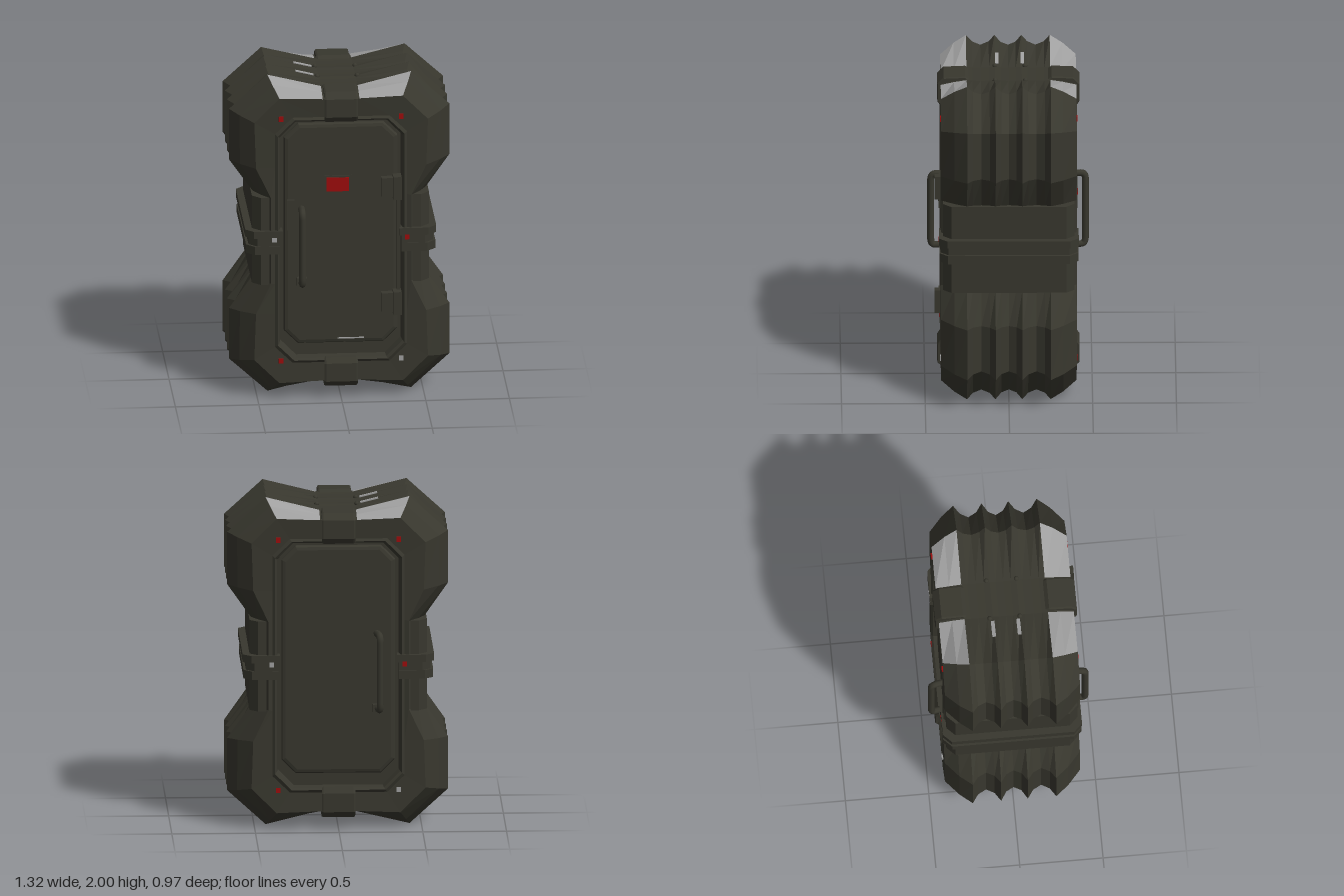
import * as THREE from 'three';

const olive = new THREE.MeshStandardMaterial({ color: 0x38372e });
olive.name = 'darkOlive';
const grey = new THREE.MeshStandardMaterial({ color: 0xa0a0a0 });
grey.name = 'lightGrey';
const red = new THREE.MeshStandardMaterial({ color: 0x9c0c0c });
red.name = 'red';

// Quarter outlines (upper left of the model), from top centre to waist
const RIDGE = [[0.11, 1.92], [0.43, 2.0], [0.66, 1.79], [0.66, 1.47], [0.52, 1.27]];
const VALLEY = [[0.11, 1.915], [0.41, 1.945], [0.59, 1.76], [0.59, 1.47], [0.5, 1.27]];
const FRONT = [[0.11, 1.89], [0.37, 1.9], [0.52, 1.75], [0.51, 1.46], [0.42, 1.27]];
const OPENING = [[0.11, 1.76], [0.28, 1.76], [0.38, 1.66], [0.38, 1.45], [0.38, 1.27]];

const mix = (a, b, t) => a.map((p, i) => p.map((v, k) => v + (b[i][k] - v) * t));
const shrink = (a, sx, sy) => a.map(([x, y]) => [x * sx, 1 + (y - 1) * sy]);

// Mirror a quarter outline into a closed ring at depth z
function ring(q, z) {
  const r = [...q].reverse();
  return [
    ...q.map(([x, y]) => [x, y, z]), ...r.map(([x, y]) => [x, 2 - y, z]),
    ...q.map(([x, y]) => [-x, 2 - y, z]), ...r.map(([x, y]) => [-x, y, z]),
  ];
}

// Ribbed shell lofted from back to front, with a recess in both faces
function makeBody() {
  const half = [
    [shrink(OPENING, 0, 0), 0.345], [shrink(OPENING, 0.95, 0.975), 0.345],
    [shrink(OPENING, 0.97, 0.985), 0.395], [OPENING, 0.408], [shrink(OPENING, 1.04, 1.02), 0.398],
    [FRONT, 0.405], [mix(FRONT, RIDGE, 0.6), 0.325], [RIDGE, 0.25],
    [mix(VALLEY, RIDGE, 0.35), 0.215], [VALLEY, 0.165], [mix(VALLEY, RIDGE, 0.35), 0.115],
    [RIDGE, 0.08], [mix(VALLEY, RIDGE, 0.3), 0.045],
  ];
  const rows = [
    ...half.map(([q, z]) => ring(q, -z)), ring(VALLEY, 0),
    ...[...half].reverse().map(([q, z]) => ring(q, z)),
  ];
  const plain = [], pale = [];
  for (let i = 0; i < rows.length - 1; i++) {
    const slope = Math.min(i, rows.length - 2 - i);
    for (let j = 0; j < 20; j++) {
      const k = (j + 1) % 20;
      const a = rows[i][j], b = rows[i][k], c = rows[i + 1][k], d = rows[i + 1][j];
      // Pale plates on the sloping top edges
      const isPale = (slope === 5 || slope === 6) && (j === 0 || j === 18);
      (isPale ? pale : plain).push(...a, ...c, ...b, ...a, ...d, ...c);
    }
  }
  const g = new THREE.BufferGeometry();
  g.setAttribute('position', new THREE.Float32BufferAttribute([...plain, ...pale], 3));
  g.addGroup(0, plain.length / 3, 0);
  g.addGroup(plain.length / 3, pale.length / 3, 1);
  g.computeVertexNormals();
  return g;
}

const shapeOf = (pts) => new THREE.Shape(pts.map(([x, y]) => new THREE.Vector2(x, y)));

// Upright prism from an outline in x and z
function prism(pts, y0, y1) {
  const g = new THREE.ExtrudeGeometry(shapeOf(pts), { depth: y1 - y0, bevelEnabled: false });
  return g.rotateX(-Math.PI / 2).translate(0, y0, 0);
}

// Side wrap outline: flat outside, chamfered towards front and back
const wrap = (x0, x1, z) => [
  [x0, -z], [x1 - 0.05, -z], [x1, 0.05 - z], [x1, z - 0.05], [x1 - 0.05, z], [x0, z],
];

export function createModel() {
  const model = new THREE.Group();
  model.name = 'armouredCrate';
  const add = (name, geo, mat, x = 0, y = 0, z = 0) => {
    const m = new THREE.Mesh(geo, mat);
    m.name = name;
    m.position.set(x, y, z);
    model.add(m);
    return m;
  };
  const box = (name, w, h, d, x, y, z, mat = olive) =>
    add(name, new THREE.BoxGeometry(w, h, d), mat, x, y, z);

  add('body', makeBody(), [olive, grey]);

  // Waist panels and straps on both sides
  for (const s of [1, -1]) {
    const parts = [
      ['waistPanel', wrap(0.385, 0.53, 0.393), 0.72, 1.27],
      ['strap', wrap(0.36, 0.552, 0.41), 0.935, 1.05],
      ['strapRib', wrap(0.35, 0.572, 0.417), 1.02, 1.065],
      ['strapRib', wrap(0.36, 0.567, 0.415), 0.918, 0.97],
    ];
    for (const [name, pts, y0, y1] of parts) {
      add(name, prism(pts, y0, y1), olive).rotation.y = s > 0 ? 0 : Math.PI;
    }
  }

  // Clamps folded over the top and bottom edges
  const clamp = new THREE.ExtrudeGeometry(shapeOf([
    [0.24, 0.86], [0.36, 0.75], [0.4, 0.75], [0.42, 0.78], [0.42, 0.89], [0.385, 0.925], [0.26, 0.93], [0.24, 0.915],
  ]), { depth: 0.18, bevelThickness: 0.01, bevelSize: 0.005, bevelSegments: 1 });
  clamp.rotateY(-Math.PI / 2).translate(0.09, 0, 0);
  for (const ry of [0, Math.PI]) {
    for (const rz of [0, Math.PI]) add('clamp', clamp, olive, 0, 1, 0).rotation.set(0, ry, rz);
  }

  // Bevelled door panels, front and back
  const w = 0.315, h = 0.67, c = 0.07;
  const door = new THREE.ExtrudeGeometry(shapeOf([
    [-w, c - h], [c - w, -h], [w - c, -h], [w, c - h], [w, h - c], [w - c, h], [c - w, h], [-w, h - c],
  ]), { depth: 0.02, bevelThickness: 0.018, bevelSize: 0.025, bevelOffset: 0, bevelSegments: 2 });
  door.translate(0, 0, 0.337);
  for (const ry of [0, Math.PI]) add('door', door, olive, 0, 1.03, 0).rotation.y = ry;

  // Grab handles, front and back
  for (const s of [1, -1]) {
    const path = new THREE.CurvePath();
    const p = [[1.19, 0.36], [1.19, 0.43], [1.15, 0.462], [0.78, 0.462], [0.735, 0.44], [0.735, 0.36]]
      .map(([y, z]) => new THREE.Vector3(s > 0 ? -0.235 : -0.235 - (z - 0.4) * 0.2, y, s * z));
    path.add(new THREE.LineCurve3(p[0], p[1]));
    path.add(new THREE.QuadraticBezierCurve3(p[1], new THREE.Vector3(p[2].x, 1.19, p[2].z), p[2]));
    path.add(new THREE.LineCurve3(p[2], p[3]));
    path.add(new THREE.QuadraticBezierCurve3(p[3], new THREE.Vector3(p[3].x, 0.735, p[3].z), p[4]));
    path.add(new THREE.LineCurve3(p[4], p[5]));
    add('handle', new THREE.TubeGeometry(path, 60, 0.021, 8), olive);
    box('handleFoot', 0.06, 0.05, 0.05, -0.235, 0.735, s * 0.385);
  }

  // Hinges with their rail, and a latch bar
  for (const y of [1.325, 0.597]) {
    box('hinge', 0.11, 0.12, 0.05, 0.295, y, 0.395);
    box('hingeBarrel', 0.05, 0.145, 0.075, 0.335, y, 0.405);
  }
  box('hingeRail', 0.025, 0.6, 0.03, 0.345, 0.96, 0.375);
  box('latchBar', 0.045, 0.19, 0.025, -0.3, 1.155, 0.38);

  // Display with a dark surround, and a small pale strip low on the door
  box('displayFrame', 0.165, 0.11, 0.02, -0.015, 1.342, 0.373);
  box('display', 0.135, 0.086, 0.008, -0.018, 1.342, 0.385, red);
  box('doorStrip', 0.16, 0.007, 0.006, 0.06, 0.367, 0.377, grey);

  // Indicator lights; the back repeats the front turned half round
  const lights = [
    [-0.36, 1.77, red], [0.36, 1.77, red], [-0.36, 0.24, red], [0.36, 0.24, grey],
    [-0.4, 1.01, grey], [0.395, 1.01, red],
  ];
  for (const s of [1, -1]) {
    for (const [x, y, mat] of lights) {
      const strap = Math.abs(y - 1) < 0.1;
      box('light', 0.028, 0.03, 0.009, s * x, y, s * (strap ? 0.414 : 0.406), mat);
    }
  }

  // Studs where the top ribs begin, and two pale slits
  for (const z of [0.08, -0.1]) {
    for (const x of [0.12, -0.12]) add('stud', new THREE.SphereGeometry(0.015, 10, 8), olive, x, 1.922, z);
  }
  for (const z of [0.068, -0.085]) {
    box('topSlit', 0.11, 0.008, 0.022, -0.195, 1.942, z, grey).rotation.z = -0.245;
  }
  return model;
}
